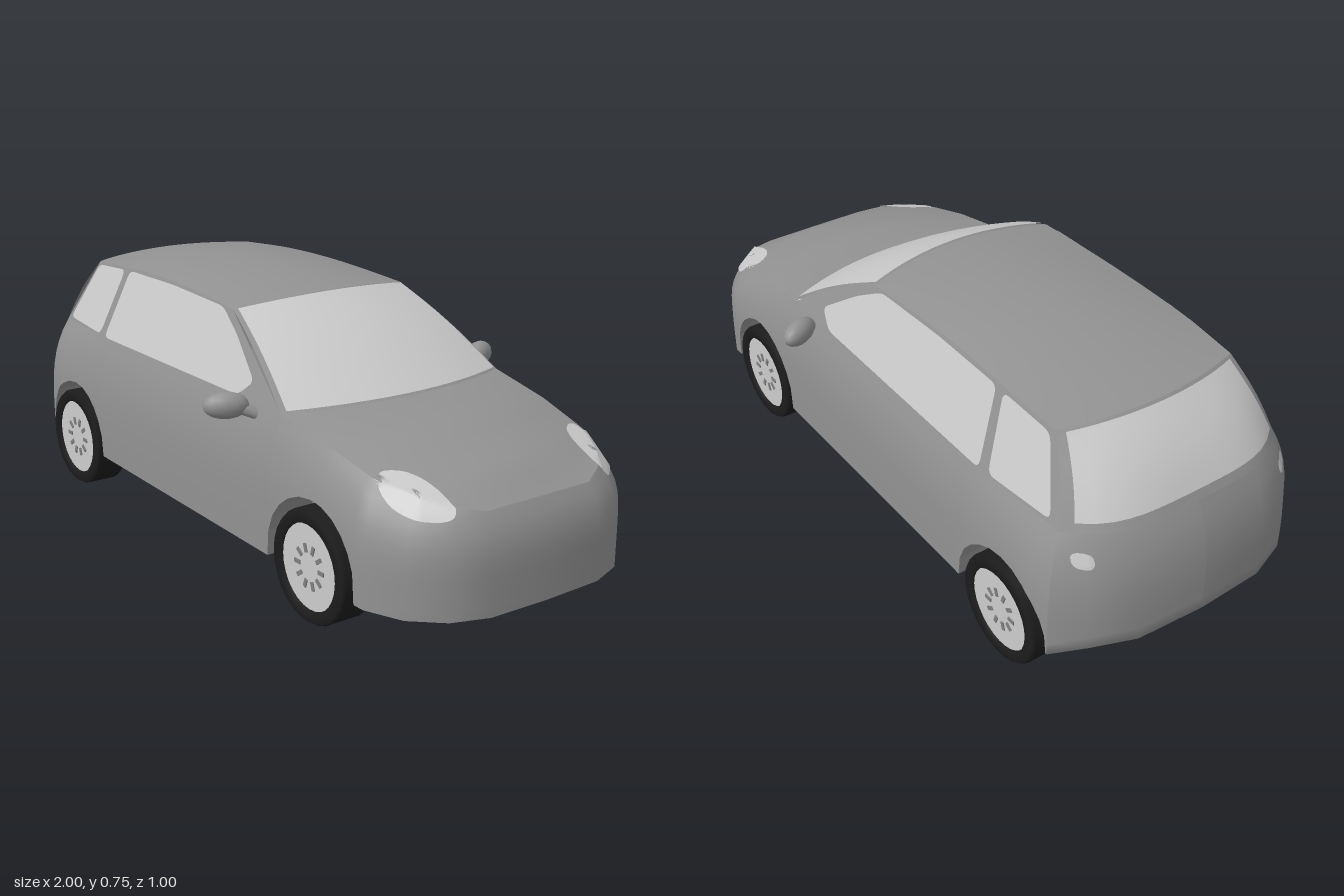
import * as THREE from 'three';

const { lerp, clamp } = THREE.MathUtils;
const mat = (name, color, side = THREE.DoubleSide) => {
  const m = new THREE.MeshStandardMaterial({ color, side });
  m.name = name;
  return m;
};

// Surface through a (nu + 1) x (nv + 1) lattice of points fn(i, j) -> [x, y, z]
function grid(nu, nv, fn, flat = false) {
  const pos = [], idx = [];
  for (let i = 0; i <= nu; i++) for (let j = 0; j <= nv; j++) pos.push(...fn(i, j));
  for (let i = 0; i < nu; i++) for (let j = 0; j < nv; j++) {
    const a = i * (nv + 1) + j, b = a + nv + 1;
    idx.push(a, b, b + 1, a, b + 1, a + 1);
  }
  let g = new THREE.BufferGeometry();
  g.setAttribute('position', new THREE.Float32BufferAttribute(pos, 3));
  g.setIndex(idx);
  if (flat) g = g.toNonIndexed();
  g.computeVertexNormals();
  return g;
}
// Part of a surface fn(s, t), s across and t along
const patch = (fn, s0, s1, t0, t1, n = 16, m = 8) =>
  grid(n, m, (i, j) => fn(lerp(s0, s1, i / n), lerp(t0, t1, j / m)));

// Piecewise-linear lookup in rows sorted by their first value
function lookup(rows, x) {
  let i = 0;
  while (i < rows.length - 2 && x > rows[i + 1][0]) i++;
  const f = clamp((x - rows[i][0]) / (rows[i + 1][0] - rows[i][0]), 0, 1);
  return rows[i].map((v, k) => lerp(v, rows[i + 1][k], f));
}

const WHEELS = [-0.69, 0.575], HUB_Y = 0.153, ARCH = 0.18;
const baseY = (x) => 0.13 - 0.015 * x;
const sideZ = (x, y) => lerp(0.37, 0.287, (y - 0.5) / 0.215) - 0.07 * Math.max(0, -0.54 - x);

// Half outline: [widest x, widest z, top edge x, y, z]
const REAR = [[-1, 0, -0.945, 0.5, 0], [-0.99, 0.2, -0.934, 0.5, 0.2], [-0.945, 0.32, -0.88, 0.5, 0.31]];
const SIDE = [
  [-0.875, 0.397, -0.84, 0.5, 0.349], [-0.8, 0.41, -0.78, 0.5, 0.353], [-0.54, 0.412, -0.54, 0.5, 0.37],
  [0.4, 0.412, 0.4, 0.5, 0.37], [0.6, 0.412, 0.6, 0.465, 0.36], [0.79, 0.405, 0.76, 0.425, 0.345],
];
const FRONT = [[0.89, 0.36, 0.86, 0.4, 0.29], [0.96, 0.28, 0.92, 0.385, 0.24], [0.995, 0.18, 0.955, 0.37, 0.17]];
const NOSE = [1, 0, 0.958, 0.37, 0];

function outline() {
  const xs = SIDE.map((r) => r[0]).concat([-0.3, -0.1, 0.1, 0.25]);
  for (const c of WHEELS) for (let a = 0; a <= 12; a++) xs.push(c + ARCH * Math.cos((a * Math.PI) / 12));
  xs.sort((a, b) => a - b);
  const half = [...REAR, ...xs.map((x) => lookup(SIDE, x)), ...FRONT, NOSE];
  const other = half.slice(0, -1).reverse().map(([a, b, c, d, e]) => [a, -b, c, d, -e]);
  return { half, ring: [...half, ...other] };
}
// Lower edge of the body, lifted over the wheels
function lowerY(x, z) {
  let y = baseY(x);
  if (Math.abs(z) > 0.33) for (const c of WHEELS) {
    const d = Math.abs(x - c);
    if (d < ARCH - 1e-4) y = Math.max(y, HUB_Y + Math.sqrt(ARCH * ARCH - d * d));
  }
  return y;
}
function shellPoint([mx, mz, tx, ty, tz], y) {
  const w = clamp((y - 0.2) / (ty - 0.2), 0, 1) ** 3;
  const tuck = mx < -0.9 ? 0.05 * clamp((0.18 - y) / 0.04, 0, 1) : 0;
  return [lerp(mx, tx, w) + tuck, y, lerp(mz, tz, w)];
}

// Upper surfaces, s from -1 (right) to 1 (left)
const bow = (s) => 1 - s * s;
const CROWN = [[0.4, 0.507], [0.5, 0.507], [0.68, 0.487], [0.86, 0.43], [0.955, 0.37]];
const HOOD_EDGE = [...SIDE.slice(3), ...FRONT].map((r) => [r[2], r[3], r[4]]);
function hood(s, t) {
  const [x, y, z] = lookup(HOOD_EDGE, lerp(0.4, 0.955, t));
  const cx = x + 0.08 * (1 - t) * bow(s);
  return [cx, lerp(y, Math.max(y, lookup(CROWN, x + 0.08 * (1 - t))[1]), bow(s)), z * s];
}
function roof(s, t) {
  const x = lerp(-0.73, 0.06, t), hump = Math.sin(Math.PI * t), y = 0.7 + 0.018 * hump;
  return [x + lerp(-0.05, 0.04, t) * bow(s), y + (0.01 + 0.012 * t + 0.016 * hump) * bow(s), sideZ(x, y) * s];
}
const between = (a, b, t, out) => a.map((v, k) => lerp(v, b[k], t) + out[k] * Math.sin(Math.PI * t));
const windscreen = (s, t) => between(roof(s, 1), hood(s, 0), t, [0.006, 0.01, 0]);
const tailgate = (s, t) => between([-0.945 + 0.105 * s ** 4, 0.5, 0.349 * s], roof(s, 0), t, [-0.012, 0.006, 0]);
const lifted = (fn, dx, dy) => (s, t) => { const p = fn(s, t); return [p[0] + dx, p[1] + dy, p[2]]; };

// Side of the cabin between the belt line and the roof edge
function cabinSide(sign) {
  return grid(26, 5, (i, j) => {
    const u = sign > 0 ? i / 26 : 1 - i / 26, v = j / 5;
    const [rx, ry] = roof(1, u);
    const x = lerp(lerp(-0.84, 0.4, u), rx, v), y = lerp(0.5, ry, v);
    return [x, y, sign * sideZ(x, y)];
  });
}
// Rounded polygon pane laid on the cabin side
function sidePane(points) {
  const shape = new THREE.Shape(), n = points.length;
  const at = (i) => new THREE.Vector2(...points[i % n]);
  for (let i = 0; i < n; i++) {
    const p = at(i), a = at(i + n - 1), b = at(i + 1);
    const inn = p.clone().add(a.sub(p).setLength(0.022)), out = p.clone().add(b.sub(p).setLength(0.022));
    if (i === 0) shape.moveTo(inn.x, inn.y); else shape.lineTo(inn.x, inn.y);
    shape.quadraticCurveTo(p.x, p.y, out.x, out.y);
  }
  const g = new THREE.ShapeGeometry(shape, 4), p = g.attributes.position;
  for (let i = 0; i < p.count; i++) p.setZ(i, sideZ(p.getX(i), p.getY(i)) + 0.005);
  g.computeVertexNormals();
  return g;
}
// Oval lamp draped over the bodywork, seen along x
function lamp(targets, dir, y, z, ry, rz) {
  const ray = new THREE.Raycaster();
  return grid(28, 7, (i, j) => {
    const a = (i / 28) * 2 * Math.PI * dir, r = 1 - j / 7;
    const c = Math.cos(a), sn = Math.sin(a);
    const py = y + r * ry * Math.sign(sn) * Math.abs(sn) ** 0.8, pz = z + r * rz * Math.sign(c) * Math.abs(c) ** 0.8;
    ray.set(new THREE.Vector3(dir * 3, py, pz), new THREE.Vector3(-dir, 0, 0));
    const hit = ray.intersectObjects(targets)[0];
    return [(hit ? hit.point.x : dir * 0.8) + dir * 0.007, py + 0.002, pz];
  });
}

export function createModel() {
  const car = new THREE.Group();
  car.name = 'car';
  const paint = mat('body paint', 0x929292), glass = mat('glass', 0xcacaca);
  const rubber = mat('tyre rubber', 0x1c1c1c), alloy = mat('wheel alloy', 0xcccccc), dark = mat('hub grey', 0x808080);
  const add = (name, geo, m, parent = car) => {
    const mesh = new THREE.Mesh(geo, m);
    mesh.name = name;
    parent.add(mesh);
    return mesh;
  };

  // Lower body with wheel arches, and the floor with wheel wells
  const { half, ring } = outline(), LEVELS = 10;
  const shell = add('bodyShell', grid(ring.length - 1, LEVELS, (i, j) => {
    const r = ring[i];
    return shellPoint(r, lerp(lowerY(r[0], r[1]), r[3], j / LEVELS));
  }), paint);
  add('floor', grid(half.length - 1, 5, (i, j) => {
    const r = half[i], low = lowerY(r[0], r[1]), base = baseY(r[0]);
    const [x, , z] = shellPoint(r, low), inner = Math.min(z, 0.29);
    return [x, [low, low, base, base, low, low][j], [-z, -inner, -inner, inner, inner, z][j]];
  }, true), paint);

  // Bonnet, roof and cabin
  const bonnet = add('bonnet', patch(hood, -1, 1, 0, 1, 20, 16), paint);
  add('roof', patch(roof, -1, 1, 0, 1, 16, 14), paint);
  add('tailgate', patch(tailgate, -1, 1, 0, 1), paint);
  add('windscreenFrame', patch(windscreen, -1, 1, 0, 1), paint);
  add('windscreen', patch(lifted(windscreen, 0.003, 0.004), -0.965, 0.965, 0.02, 0.985), glass);
  add('rearWindow', patch(lifted(tailgate, -0.004, 0.003), -0.93, 0.93, 0.1, 0.97), glass);

  // Lamps
  for (const side of [1, -1]) {
    add('headlight', lamp([shell, bonnet], 1, 0.396, side * 0.297, 0.042, 0.056), glass);
    add('tailLight', lamp([shell], -1, 0.44, side * 0.325, 0.02, 0.022), glass);
    add('cabinSide', cabinSide(side), paint);
  }

  // Side glass and door mirrors, mirrored across the car
  for (const side of [1, -1]) {
    const g = new THREE.Group();
    g.name = side > 0 ? 'nearSideFittings' : 'farSideFittings';
    g.scale.z = side;
    car.add(g);
    add('frontSideWindow', sidePane([[-0.545, 0.505], [0.2, 0.505], [0.255, 0.55], [0.12, 0.645], [0.02, 0.7], [-0.25, 0.71], [-0.51, 0.708]]), glass, g);
    add('rearSideWindow', sidePane([[-0.81, 0.515], [-0.58, 0.508], [-0.54, 0.706], [-0.72, 0.692]]), glass, g);
    const head = add('mirrorHead', new THREE.SphereGeometry(1, 14, 10), paint, g);
    head.scale.set(0.033, 0.036, 0.062);
    head.position.set(0.25, 0.5, 0.44);
    head.rotation.set(0, -0.45, 0);
    const stem = new THREE.TubeGeometry(new THREE.LineCurve3(new THREE.Vector3(0.3, 0.47, 0.36), new THREE.Vector3(0.265, 0.495, 0.415)), 1, 0.016, 8);
    add('mirrorStem', stem, paint, g);
  }

  // Wheels
  const profile = [[0.114, 0], [0.145, 0], [0.152, 0.01], [0.152, 0.095], [0.146, 0.105], [0.117, 0.105], [0.114, 0.092]];
  const tyre = new THREE.LatheGeometry(profile.map((p) => new THREE.Vector2(...p)), 28).rotateX(Math.PI / 2);
  const rim = new THREE.CylinderGeometry(0.116, 0.116, 0.092, 28).rotateX(Math.PI / 2).translate(0, 0, 0.051);
  for (const x of WHEELS) for (const side of [1, -1]) {
    const w = new THREE.Group();
    w.name = 'wheel';
    w.position.set(x, HUB_Y, side * 0.31);
    if (side < 0) w.rotation.y = Math.PI;
    car.add(w);
    add('tyre', tyre, rubber, w);
    add('rim', rim, alloy, w);
    for (let k = 0; k < 10; k++) {
      const a = (k / 10) * 2 * Math.PI;
      const slot = add('hubSlot', new THREE.BoxGeometry(0.024, 0.011, 0.006), dark, w);
      slot.position.set(0.05 * Math.cos(a), 0.05 * Math.sin(a), 0.097);
      slot.rotation.z = a;
    }
  }
  return car;
}
